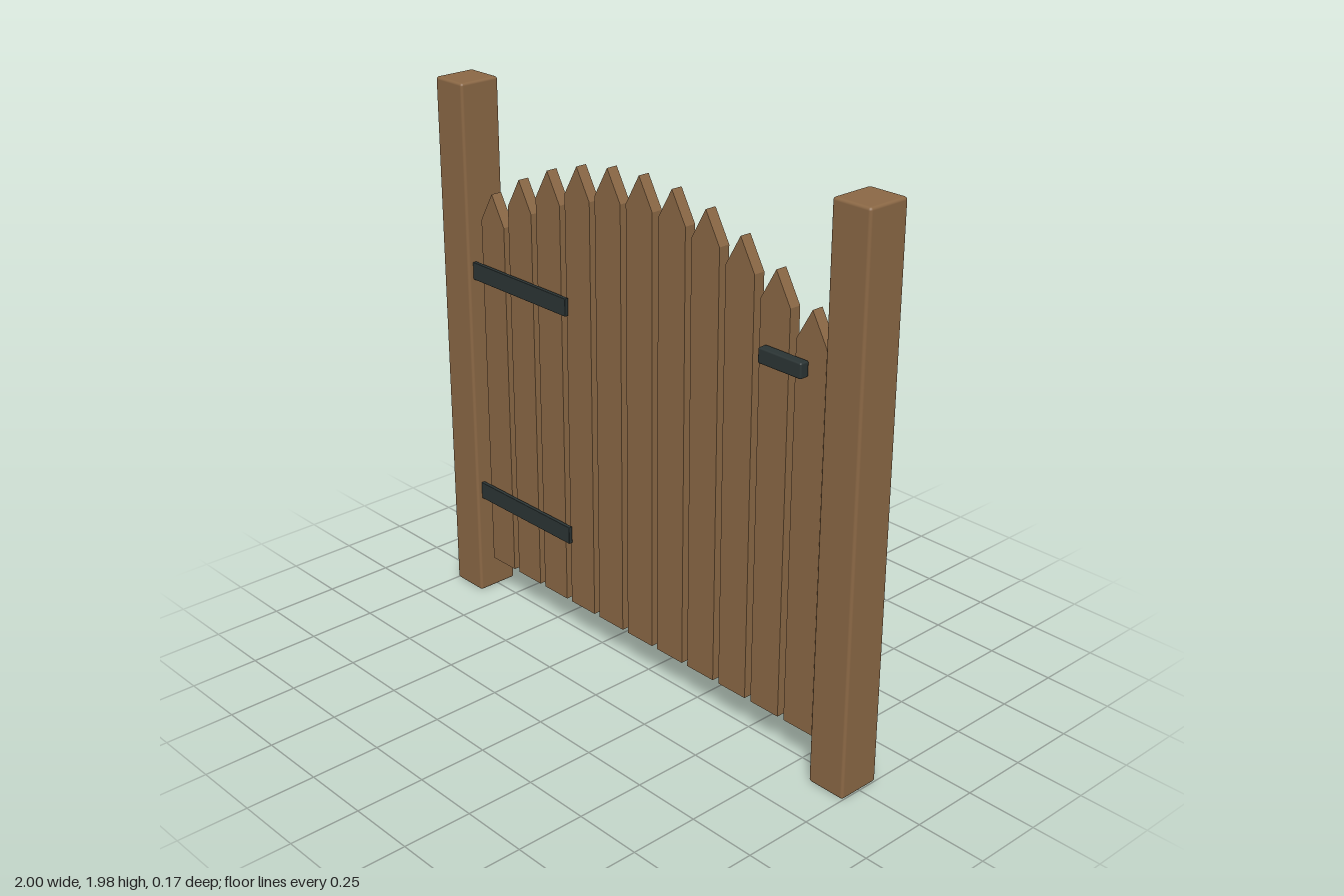
import * as THREE from 'three';
import { RoundedBoxGeometry } from 'three/addons/geometries/RoundedBoxGeometry.js';

export function createModel() {
  const gate = new THREE.Group();
  gate.name = 'picketGate';
  const wood = new THREE.MeshStandardMaterial({ color: 0x8b6845 });
  wood.name = 'wood';
  const iron = new THREE.MeshStandardMaterial({ color: 0x2b3434 });
  iron.name = 'darkIron';

  // Box with softened edges, given by its size and centre
  function addBox(name, material, [w, h, d], [x, y, z], radius) {
    const mesh = new THREE.Mesh(new RoundedBoxGeometry(w, h, d, 2, radius), material);
    mesh.name = name;
    mesh.position.set(x, y, z);
    gate.add(mesh);
    return mesh;
  }

  // Posts
  for (const [side, name] of [[1, 'leftPost'], [-1, 'rightPost']]) {
    addBox(name, wood, [0.146, 1.975, 0.16], [side * 0.927, 0.9875, 0.003], 0.01);
  }

  // Pointed pickets, their tops following a shallow arch
  const bottom = 0.14, half = 0.0625, depth = 0.042;
  for (let i = -5; i <= 5; i++) {
    const peak = 1.835 - 0.0096 * i * i;
    const shoulder = peak - 0.108;
    const outline = new THREE.Shape([
      new THREE.Vector2(-half, bottom),
      new THREE.Vector2(half, bottom),
      new THREE.Vector2(half, shoulder),
      new THREE.Vector2(0, peak),
      new THREE.Vector2(-half, shoulder),
    ]);
    const picket = new THREE.Mesh(
      new THREE.ExtrudeGeometry(outline, { depth, bevelEnabled: false }), wood);
    picket.name = `picket${i + 6}`;
    picket.position.x = i * 0.152;
    gate.add(picket);
  }

  // Rails behind the pickets, with a strap hinge in front of each
  for (const [level, y] of [['lower', 0.42], ['upper', 1.292]]) {
    addBox(`${level}Rail`, wood, [1.684, 0.123, 0.048], [0, y, -0.024], 0.004);
    addBox(`${level}Hinge`, iron, [0.504, 0.065, 0.015], [-0.602, y + 0.002, 0.056], 0.002);
  }

  // Diagonal brace across the back
  const brace = addBox('diagonalBrace', wood, [1.656, 0.09, 0.038], [0, 0.853, -0.0645], 0.004);
  brace.rotation.z = THREE.MathUtils.degToRad(34.5);

  // Latch
  addBox('latch', iron, [0.18, 0.053, 0.036], [0.665, 1.406, 0.062], 0.006);

  return gate;
}
